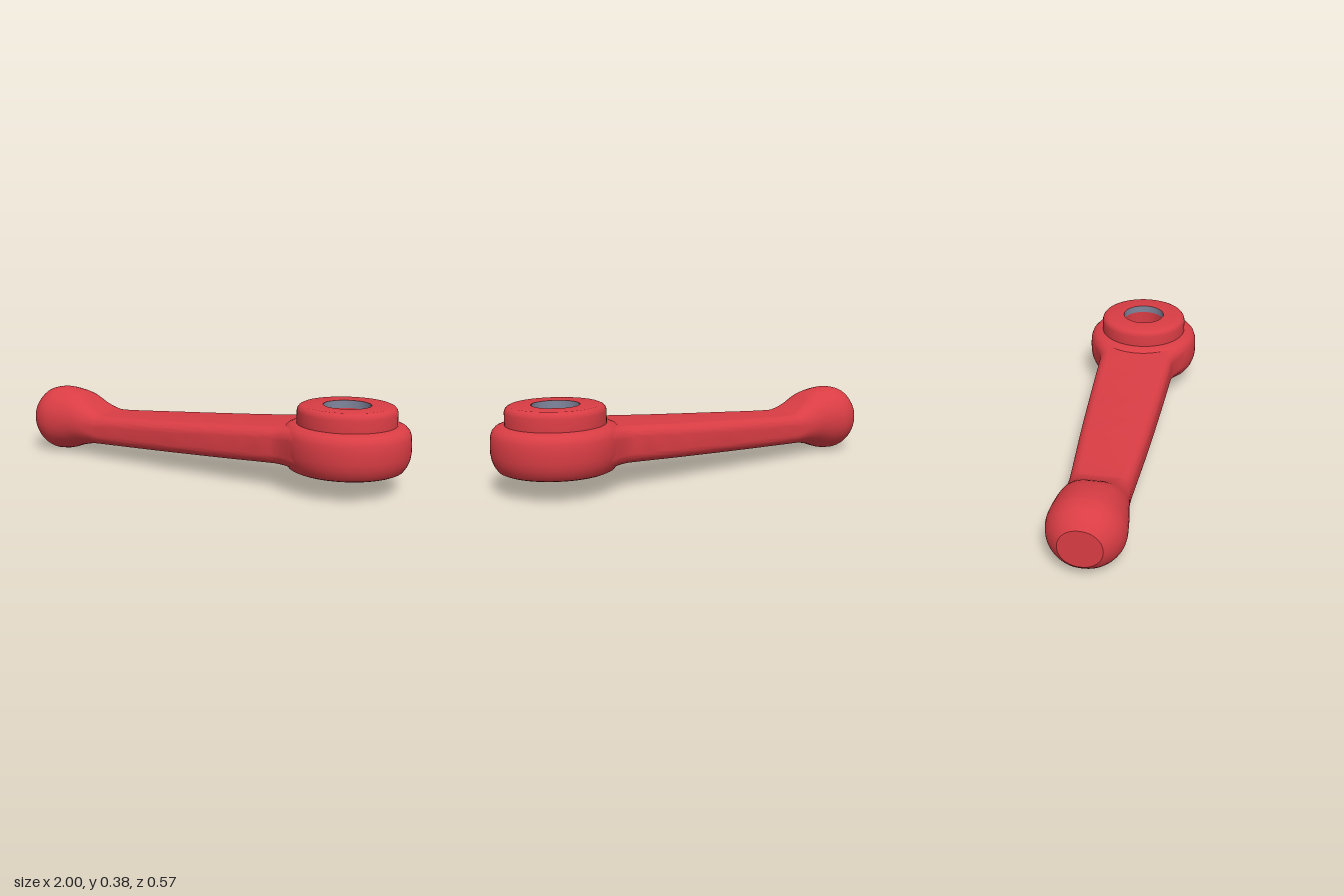
import * as THREE from 'three';
import { toCreasedNormals } from 'three/addons/utils/BufferGeometryUtils.js';

const HUB_X = 0.715, HOLE_R = 0.106;

// Stations along the lever: x, top y, bottom y, half width, corner radius
const STATIONS = [
  [-1.0, 0.258, 0.078, 0.093, 0.09],
  [-0.975, 0.285, 0.05, 0.121, 0.118],
  [-0.94, 0.313, 0.022, 0.148, 0.146],
  [-0.9, 0.325, 0.006, 0.164, 0.16],
  [-0.86, 0.328, 0.002, 0.168, 0.164],
  [-0.8, 0.322, 0.01, 0.163, 0.157],
  [-0.73, 0.303, 0.034, 0.153, 0.132],
  [-0.66, 0.257, 0.054, 0.143, 0.095],
  [-0.6, 0.227, 0.066, 0.139, 0.065],
  [-0.53, 0.219, 0.071, 0.14, 0.052],
  [-0.2, 0.238, 0.085, 0.161, 0.05],
  [0.15, 0.261, 0.1, 0.178, 0.05],
  [0.4, 0.28, 0.112, 0.188, 0.05],
  [0.46, 0.284, 0.114, 0.193, 0.05],
  [0.51, 0.287, 0.115, 0.212, 0.05],
  [0.55, 0.289, 0.115, 0.233, 0.05],
  [0.58, 0.291, 0.115, 0.247, 0.05],
];

// Rounded rectangle in the z-y plane at one station
function section(x, top, bottom, halfWidth, radius) {
  const cy = (top + bottom) / 2, h = (top - bottom) / 2;
  const r = Math.min(radius, h * 0.98, halfWidth * 0.98);
  const signs = [[1, 1], [-1, 1], [-1, -1], [1, -1]];
  const ring = [];
  signs.forEach(([sz, sy], q) => {
    for (let k = 0; k <= 10; k++) {
      const a = (q + k / 10) * Math.PI / 2;
      ring.push([x, cy + sy * (h - r) + r * Math.sin(a), sz * (halfWidth - r) + r * Math.cos(a)]);
    }
  });
  return ring;
}

// Smooth loft through the stations, closed with flat ends
function leverGeometry() {
  const heights = new THREE.CatmullRomCurve3(STATIONS.map(s => new THREE.Vector3(s[0], s[1], s[2])), false, 'catmullrom', 0.5);
  const widths = new THREE.CatmullRomCurve3(STATIONS.map(s => new THREE.Vector3(s[0], s[3], s[4])), false, 'catmullrom', 0.5);
  const steps = (STATIONS.length - 1) * 4;
  const positions = [], index = [];
  let n = 0;
  for (let i = 0; i <= steps; i++) {
    const a = heights.getPoint(i / steps), b = widths.getPoint(i / steps);
    const ring = section(a.x, a.y, a.z, b.y, b.z);
    n = ring.length;
    ring.forEach(p => positions.push(...p));
  }
  for (let i = 0; i < steps; i++) {
    for (let j = 0; j < n; j++) {
      const a = i * n + j, b = a + n, c = i * n + (j + 1) % n, d = c + n;
      index.push(a, b, c, b, d, c);
    }
  }
  const last = steps * n;
  for (let j = 1; j < n - 1; j++) {
    index.push(0, j, j + 1);
    index.push(last, last + j + 1, last + j);
  }
  // Orient the end caps outward: the ring runs y to -z, facing -x as listed
  const geo = new THREE.BufferGeometry();
  geo.setAttribute('position', new THREE.Float32BufferAttribute(positions, 3));
  geo.setIndex(index);
  return toCreasedNormals(geo, 0.55);
}

function lathe(points) {
  const geo = new THREE.LatheGeometry(points.map(p => new THREE.Vector2(...p)), 72);
  return toCreasedNormals(geo, 0.65);
}

export function createModel() {
  const red = new THREE.MeshStandardMaterial({ color: 0xd93d44 });
  red.name = 'red';
  const steel = new THREE.MeshStandardMaterial({ color: 0x80859c });
  steel.name = 'steel';
  const group = new THREE.Group();
  group.name = 'clampLever';

  const add = (name, geo, material, x = 0) => {
    const mesh = new THREE.Mesh(geo, material);
    mesh.name = name;
    mesh.position.x = x;
    group.add(mesh);
  };

  // Arm with its round grip end
  add('armAndGrip', leverGeometry(), red);

  // Hub with raised collar and through hole
  add('hub', lathe([
    [HOLE_R, 0.098], [0.243, 0.098], [0.256, 0.104], [0.27, 0.125], [0.28, 0.15],
    [0.285, 0.18], [0.285, 0.22], [0.282, 0.255], [0.275, 0.275], [0.262, 0.289], [0.243, 0.297],
    [0.221, 0.3], [0.221, 0.355], [0.218, 0.367], [0.21, 0.377], [0.197, 0.383],
    [HOLE_R, 0.383], [HOLE_R, 0.098],
  ]), red, HUB_X);

  // Thin steel bands at both mouths of the hole
  for (const [name, low, high] of [['lowerHoleBand', 0.098, 0.133], ['upperHoleBand', 0.348, 0.383]]) {
    add(name, lathe([[HOLE_R - 0.002, high], [HOLE_R - 0.002, low]]), steel, HUB_X);
  }
  return group;
}
